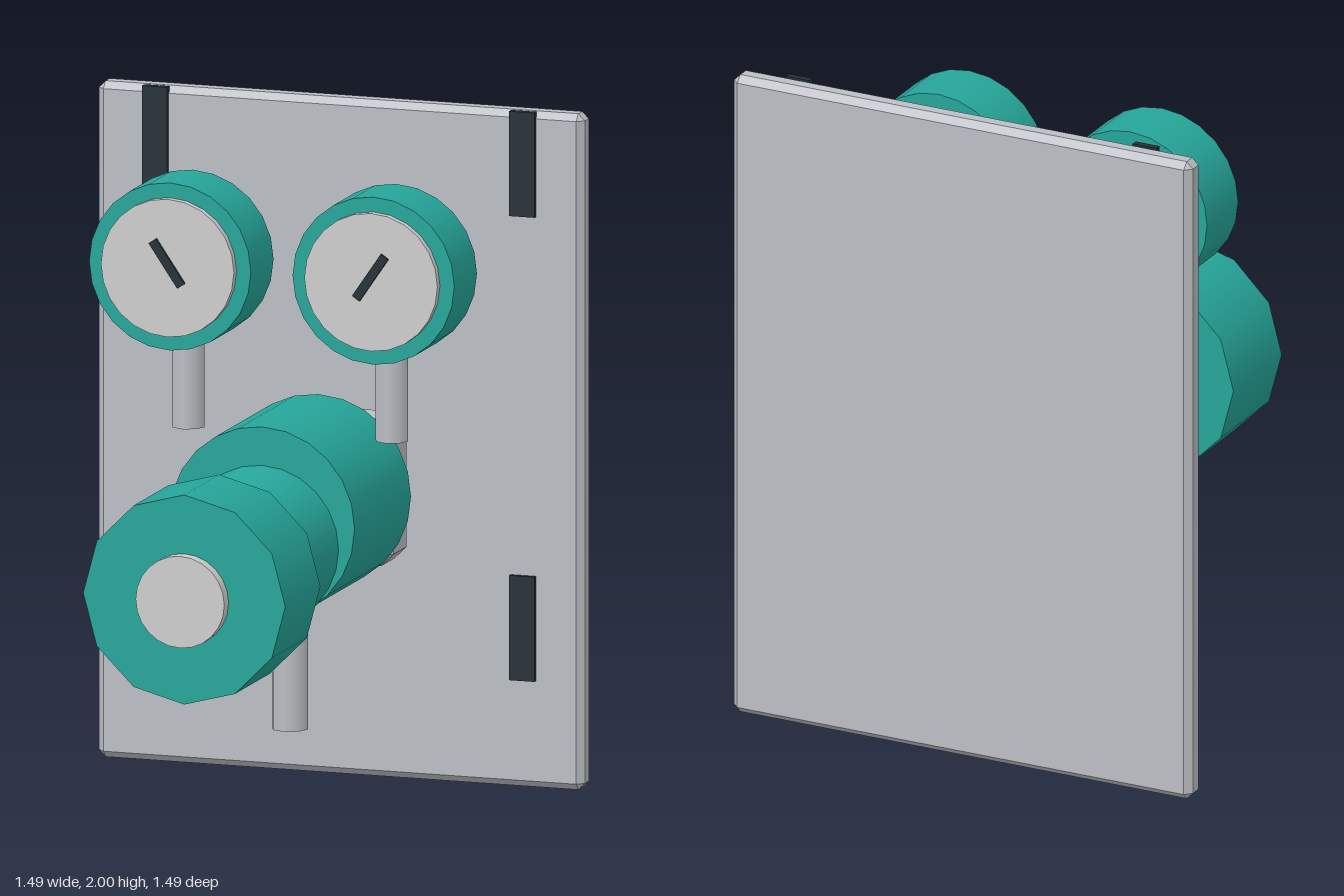
import * as THREE from 'three';
import { ConvexGeometry } from 'three/addons/geometries/ConvexGeometry.js';

const material = (name, color) => {
  const m = new THREE.MeshStandardMaterial({ color });
  m.name = name;
  return m;
};

// Box with every edge cut by a flat chamfer c
function chamferBox(w, h, d, c) {
  const pts = [];
  for (const sx of [-1, 1]) for (const sy of [-1, 1]) for (const sz of [-1, 1]) {
    const x = w / 2, y = h / 2, z = d / 2;
    pts.push(new THREE.Vector3(sx * x, sy * (y - c), sz * (z - c)));
    pts.push(new THREE.Vector3(sx * (x - c), sy * y, sz * (z - c)));
    pts.push(new THREE.Vector3(sx * (x - c), sy * (y - c), sz * z));
  }
  return new ConvexGeometry(pts);
}

export function createModel() {
  const teal = material('teal', 0x26a69a);
  const grey = material('panel grey', 0xbcbfc4);
  const pale = material('dial grey', 0xcfcfcf);
  const dark = material('dark slate', 0x263238);
  const model = new THREE.Group();

  function add(name, geometry, mat, x, y, z, parent = model) {
    const mesh = new THREE.Mesh(geometry, mat);
    mesh.name = name;
    mesh.position.set(x, y, z);
    parent.add(mesh);
    return mesh;
  }

  // Round part lying along z, from z0 (back) to z1 (front)
  function barrel(name, mat, rBack, rFront, z0, z1, x, y, sides, parent) {
    const g = new THREE.CylinderGeometry(rFront, rBack, z1 - z0, sides).rotateX(Math.PI / 2);
    return add(name, g, mat, x, y, (z0 + z1) / 2, parent);
  }

  // Upright eight-sided stem
  function stem(name, r, y0, y1, x, z, parent) {
    add(name, new THREE.CylinderGeometry(r, r, y1 - y0, 8), grey, x, (y0 + y1) / 2, z, parent);
  }

  // Back panel and mounting block
  add('backPanel', chamferBox(1.49, 2, 0.075, 0.02), grey, 0, 1, -0.706);
  add('mountBlock', chamferBox(0.435, 0.435, 0.19, 0.037), grey, 0, 0.876, -0.575);

  // Dark strips at the panel corners
  for (const side of [-1, 1]) for (const y of [1.845, 0.472]) {
    add('cornerStrip', new THREE.BoxGeometry(0.077, 0.31, 0.02), dark, side * 0.563, y, -0.665);
  }

  // Valve body, tapered neck, knob and its centre button
  barrel('valveBody', teal, 0.284, 0.284, -0.48, 0.018, 0, 0.878, 24);
  barrel('taperedNeck', teal, 0.236, 0.187, 0.01, 0.4, 0, 0.813, 24);
  barrel('knob', teal, 0.31, 0.31, 0.395, 0.705, 0, 0.784, 12);
  barrel('knobButton', pale, 0.136, 0.136, 0.7, 0.743, 0, 0.784, 24);
  stem('outletPipe', 0.055, 0.222, 0.7, 0, -0.23);

  // Pair of gauges with mirrored needles
  for (const side of [-1, 1]) {
    const gauge = new THREE.Group();
    gauge.name = side > 0 ? 'leftGauge' : 'rightGauge';
    model.add(gauge);
    const x = side * 0.312;
    barrel('gaugeCase', teal, 0.248, 0.248, -0.268, -0.068, x, 1.598, 24, gauge);
    barrel('gaugeFace', pale, 0.204, 0.204, -0.1, -0.045, x, 1.598, 24, gauge);
    const needle = add('gaugeNeedle', new THREE.BoxGeometry(0.027, 0.156, 0.009), dark, x, 1.613, -0.0405, gauge);
    needle.rotation.z = -side * 0.6;
    stem('gaugeStem', 0.05, 1.095, 1.4, x, -0.23, gauge);
  }
  return model;
}
